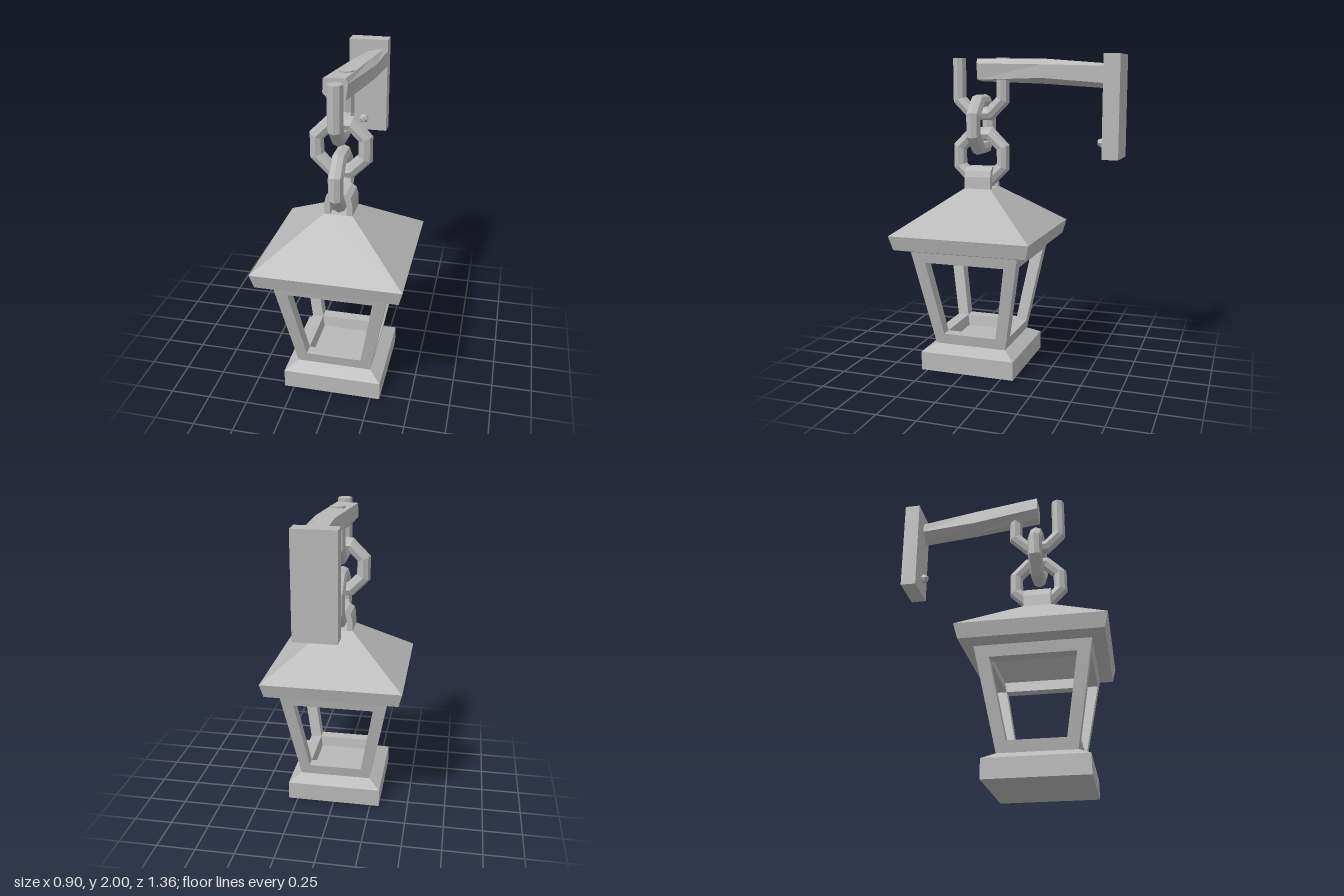
import * as THREE from 'three';

const iron = new THREE.MeshStandardMaterial({ color: 0xb8b8b8, flatShading: true });
iron.name = 'grey iron';

const LANTERN_Z = 0.23;

function part(name, geometry, parent, x = 0, y = 0, z = 0) {
  const mesh = new THREE.Mesh(geometry, iron);
  mesh.name = name;
  mesh.position.set(x, y, z);
  parent.add(mesh);
  return mesh;
}

// Square solid from a [half width, height] profile
function squareLathe(profile) {
  const points = profile.map(([h, y]) => new THREE.Vector2(h * Math.SQRT2, y));
  return new THREE.LatheGeometry(points, 4, Math.PI / 4);
}

// Leaning corner post: each end spans [inner, outer] on x and z
function postGeometry() {
  const geo = new THREE.BoxGeometry(1, 1, 1);
  const p = geo.attributes.position;
  for (let i = 0; i < p.count; i++) {
    const top = p.getY(i) > 0;
    const [inner, outer] = top ? [0.272, 0.35] : [0.163, 0.235];
    const pick = (v) => (v > 0 ? outer : inner);
    p.setXYZ(i, pick(p.getX(i)), top ? 0.79 : 0.165, pick(p.getZ(i)));
  }
  return geo;
}

// Eight-sided chain link
function linkGeometry() {
  return new THREE.TorusGeometry(0.157, 0.047, 8, 8).rotateZ(Math.PI / 8);
}

// Open link: lower half of a link with both legs drawn straight up
function openLinkGeometry(legTop) {
  const step = Math.PI / 4;
  const geo = new THREE.TorusGeometry(0.157, 0.047, 8, 5, step * 5).rotateZ(-step * 4.5);
  const p = geo.attributes.position;
  for (let i = 0; i < p.count; i++) if (p.getY(i) > 0) p.setY(i, legTop);
  return geo;
}

// Hewn arm lofted through six-cornered sections
function armGeometry() {
  const sections = [
    [0.245, [[-0.1, 1.975], [0.03, 1.98], [0.045, 1.95], [0.03, 1.85], [-0.06, 1.84], [-0.105, 1.89]]],
    [-0.2, [[-0.03, 1.965], [0.085, 1.975], [0.12, 1.94], [0.12, 1.86], [0.03, 1.825], [-0.04, 1.87]]],
    [-0.58, [[-0.01, 1.92], [0.1, 1.945], [0.125, 1.93], [0.125, 1.83], [0.06, 1.8], [-0.01, 1.86]]],
  ];
  const positions = [];
  const index = [];
  const n = 6;
  for (const [z, ring] of sections) for (const [x, y] of ring) positions.push(x, y, z);
  for (let s = 0; s < sections.length - 1; s++) {
    for (let j = 0; j < n; j++) {
      const a = s * n + j;
      const b = s * n + ((j + 1) % n);
      index.push(a, b, a + n, b, b + n, a + n);
    }
  }
  const last = (sections.length - 1) * n;
  for (let j = 1; j < n - 1; j++) {
    index.push(0, j + 1, j);
    index.push(last, last + j, last + j + 1);
  }
  const geo = new THREE.BufferGeometry();
  geo.setAttribute('position', new THREE.Float32BufferAttribute(positions, 3));
  geo.setIndex(index);
  geo.computeVertexNormals();
  return geo;
}

// Arched eye on the roof, open underneath for the chain
function eyeGeometry() {
  const outline = [
    [-0.088, 1.16], [-0.05, 1.16], [-0.05, 1.235], [-0.028, 1.265], [0.028, 1.265], [0.05, 1.235],
    [0.05, 1.16], [0.088, 1.16], [0.085, 1.24], [0.075, 1.28], [0.045, 1.302],
    [-0.045, 1.302], [-0.075, 1.28], [-0.085, 1.24],
  ];
  const shape = new THREE.Shape(outline.map(([x, y]) => new THREE.Vector2(x, y)));
  const depth = 0.175;
  return new THREE.ExtrudeGeometry(shape, { depth, bevelEnabled: false }).translate(0, 0, -depth / 2);
}

export function createModel() {
  const model = new THREE.Group();
  model.name = 'hangingLantern';

  // Wall bracket
  const bracket = new THREE.Group();
  bracket.name = 'wallBracket';
  model.add(bracket);
  part('wallPlate', new THREE.BoxGeometry(0.255, 0.62, 0.1), bracket, -0.002, 1.69, -0.625);
  part('arm', armGeometry(), bracket);
  part('bolt', new THREE.IcosahedronGeometry(0.033), bracket, -0.022, 1.47, -0.547);

  // Chain
  const chain = new THREE.Group();
  chain.name = 'chain';
  chain.position.z = LANTERN_Z;
  model.add(chain);
  part('lowerLink', linkGeometry(), chain, 0, 1.365).rotation.y = Math.PI / 2;
  part('middleLink', linkGeometry(), chain, 0, 1.57);
  part('openLink', openLinkGeometry(0.2), chain, 0, 1.785).rotation.y = Math.PI / 2;
  for (const side of [-1, 1]) {
    const cap = new THREE.CircleGeometry(0.045, 8).rotateX(-Math.PI / 2);
    part('linkEnd', cap, chain, 0, 1.985, side * 0.145);
  }

  // Lantern
  const lantern = new THREE.Group();
  lantern.name = 'lantern';
  lantern.position.z = LANTERN_Z;
  model.add(lantern);
  part('base', squareLathe([[0, 0], [0.31, 0], [0.31, 0.12], [0.235, 0.165], [0, 0.165]]), lantern);
  part('lowerRim', squareLathe([[0.235, 0.165], [0.248, 0.235], [0.175, 0.235], [0.163, 0.165]]), lantern);
  part('upperRim', squareLathe([[0.26, 0.72], [0.337, 0.72], [0.35, 0.79], [0.272, 0.79], [0.26, 0.72]]), lantern);
  for (let i = 0; i < 4; i++) {
    part('cornerPost', postGeometry(), lantern).rotation.y = (i * Math.PI) / 2;
  }
  // Hollow roof: inner slope, underside, flared edge, outer slope
  part('roof', squareLathe([
    [0, 1.03], [0.272, 0.79], [0.36, 0.79], [0.43, 0.81], [0.452, 0.9], [0.088, 1.165], [0, 1.165],
  ]), lantern);
  part('roofEye', eyeGeometry(), lantern);

  return model;
}
